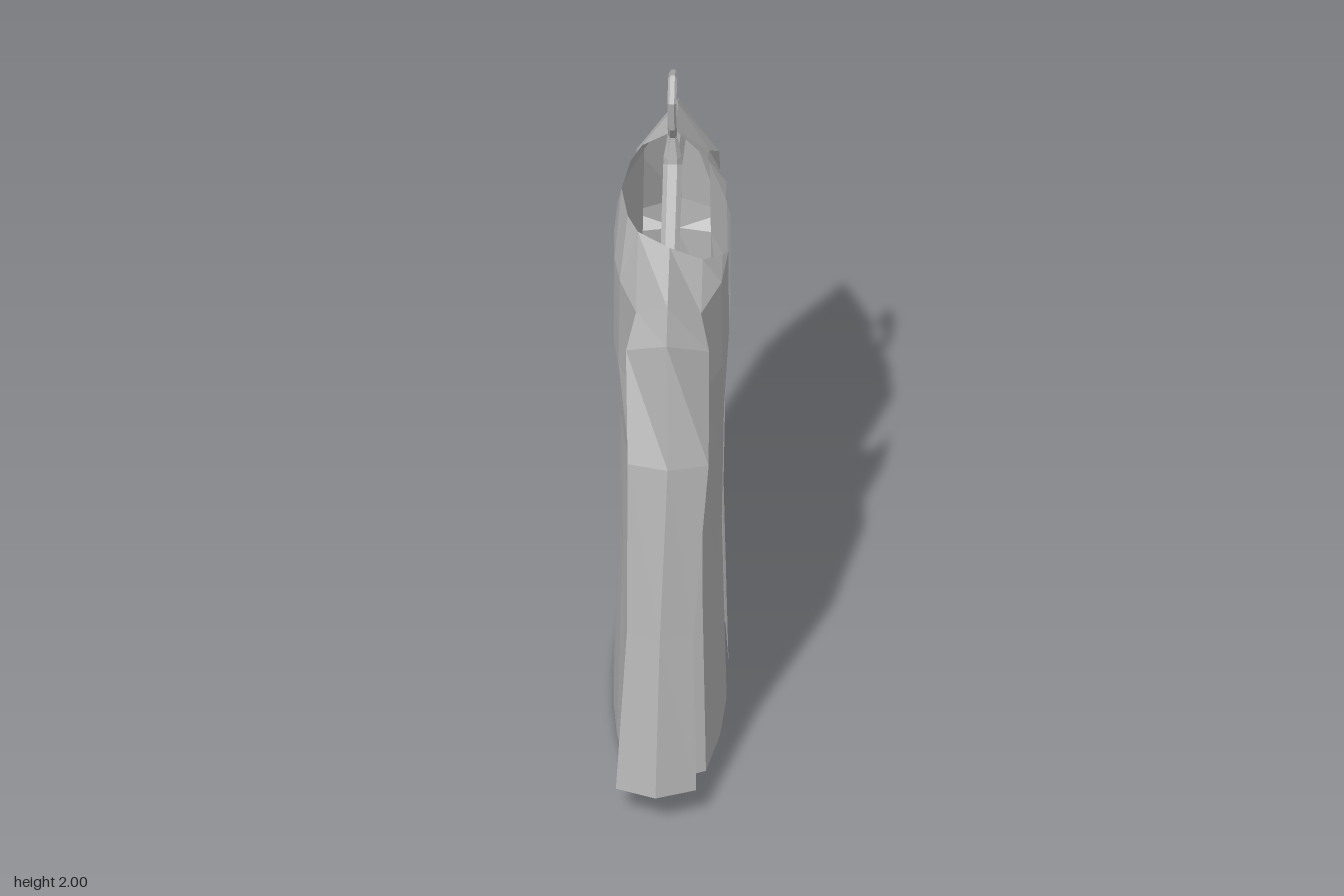
import * as THREE from 'three';

const cloth = new THREE.MeshStandardMaterial({ color: 0xb8b8b8, flatShading: true, side: THREE.DoubleSide });
cloth.name = 'plain grey';

// Skin rows of [x, y, z] points with quads; side = -1 mirrors across z
function loft(name, rows, { side = 1, closed = false } = {}) {
  const pos = [];
  for (let i = 0; i + 1 < rows.length; i++) {
    const a = rows[i], b = rows[i + 1], n = a.length;
    for (let j = 0; j < (closed ? n : n - 1); j++) {
      const k = (j + 1) % n;
      for (let t of [[a[j], b[j], b[k]], [a[j], b[k], a[k]]]) {
        if (side < 0) t = [t[0], t[2], t[1]];
        for (const p of t) pos.push(p[0], p[1], p[2] * side);
      }
    }
  }
  const g = new THREE.BufferGeometry();
  g.setAttribute('position', new THREE.Float32BufferAttribute(pos, 3));
  g.computeVertexNormals();
  const m = new THREE.Mesh(g, cloth);
  m.name = name;
  return m;
}

// Six-sided rod through [z, y, radiusAcross, radiusInPlane] stations in the x = 0 plane
function rod(name, path) {
  const rows = path.map(([z, y, rx, rn], i) => {
    const dir = (p, q) => new THREE.Vector2(q[0] - p[0], q[1] - p[1]).normalize();
    const t = new THREE.Vector2();
    if (i > 0) t.add(dir(path[i - 1], path[i]));
    if (i < path.length - 1) t.add(dir(path[i], path[i + 1]));
    t.normalize();
    return Array.from({ length: 6 }, (_, k) => {
      const a = -k * Math.PI / 3, s = Math.sin(a) * rn;
      return [Math.cos(a) * rx, y + t.x * s, z - t.y * s];
    });
  });
  const cap = ([z, y]) => Array(6).fill([0, y, z]);
  return loft(name, [cap(path[0]), ...rows, cap(path[path.length - 1])], { closed: true });
}

// Half cross-section of the torso, from centre back round the side to the front edge
// x = [back centre, back, back, back corner, front corner, front, front edge]
function torsoRow(y, x, z2, z3, zSide) {
  return [
    [x[0], y, 0], [x[1], y, 0.12], [x[2], y, z2], [x[3], y, z3],
    [0, y, zSide],
    [x[4], y, z3], [x[5], y, z2], [x[6], y, 0.08],
  ];
}

// Hexagonal sleeve ring: outer, front outer, front inner, inner, back inner, back outer
function sleeveRing(cx, w, outer, mid, low, inner) {
  return [
    [cx, outer[1], outer[0]],
    [cx + w, mid[1], mid[0]], [cx + w * 0.85, low[1], low[0]],
    [cx, inner[1], inner[0]],
    [cx - w * 0.85, low[1], low[0]], [cx - w, mid[1], mid[0]],
  ];
}

export function createModel() {
  const model = new THREE.Group();
  model.name = 'openShirtOnHanger';

  const chest = torsoRow(1.48, [-0.155, -0.15, -0.133, -0.086, 0.086, 0.136, 0.15], 0.22, 0.358, 0.36);
  const armpit = torsoRow(1.21, [-0.157, -0.152, -0.136, -0.09, 0.09, 0.139, 0.151], 0.225, 0.358, 0.375);
  const torso = [
    armpit,
    torsoRow(0.97, [-0.138, -0.133, -0.12, -0.10, 0.09, 0.126, 0.138], 0.23, 0.375, 0.415),
    torsoRow(0.6, [-0.14, -0.135, -0.125, -0.10, 0.09, 0.12, 0.132], 0.235, 0.385, 0.43),
    torsoRow(0, [-0.157, -0.152, -0.14, -0.11, 0.10, 0.132, 0.145], 0.245, 0.40, 0.447),
  ];
  const ridge = [0, 1.565, 0.45];

  // Neckline, high at the back and scooped at the front
  const neckBack = [-0.086, 1.62, 0.19];
  const neckline = [
    [-0.135, 1.62, 0], [-0.115, 1.62, 0.12], neckBack, neckBack,
    [0, 1.62, 0.258], [0.086, 1.555, 0.22], [0.136, 1.5, 0.125], [0.15, 1.478, 0.08],
  ];
  const yokeEdge = chest.map((p, i) => (i === 4 ? ridge : p));

  const sleeve = [
    [ridge, chest[5], armpit[5], armpit[4], armpit[3], chest[3]],
    sleeveRing(0, 0.11, [0.546, 1.51], [0.44, 1.416], [0.392, 1.235], [0.378, 1.205]),
    sleeveRing(0.005, 0.107, [0.6, 1.14], [0.56, 1.13], [0.483, 1.06], [0.44, 1.02]),
    sleeveRing(-0.015, 0.088, [0.635, 0.6], [0.595, 0.6], [0.502, 0.58], [0.445, 0.57]),
    sleeveRing(-0.025, 0.106, [0.678, 0.115], [0.625, 0.105], [0.51, 0.08], [0.447, 0.068]),
  ];

  for (const side of [1, -1]) {
    const half = new THREE.Group();
    half.name = side > 0 ? 'leftHalf' : 'rightHalf';
    half.add(
      loft('shoulderYoke', [neckline, yokeEdge], { side }),
      loft('backPanel', [chest.slice(0, 4), armpit.slice(0, 4)], { side }),
      loft('frontPanel', [chest.slice(5), armpit.slice(5)], { side }),
      loft('torso', torso, { side }),
      loft('sleeve', sleeve, { side, closed: true }),
    );
    model.add(half);
  }

  // Hanger: sloping arms, tapered neck and bent hook
  const hanger = new THREE.Group();
  hanger.name = 'hanger';
  hanger.add(
    rod('hangerArms', [[-0.42, 1.5, 0.025, 0.02], [0, 1.702, 0.025, 0.023], [0.42, 1.5, 0.025, 0.02]]),
    rod('hangerNeck', [[0, 1.7, 0.025, 0.02], [0, 1.73, 0.024, 0.018], [0, 1.79, 0.013, 0.013]]),
    rod('hook', [
      [0, 1.75], [0, 1.8], [0.046, 1.86], [0.066, 1.952],
      [0.004, 1.988], [-0.06, 1.958], [-0.06, 1.895],
    ].map(([z, y]) => [z, y, 0.012, 0.012])),
  );
  model.add(hanger);
  return model;
}
